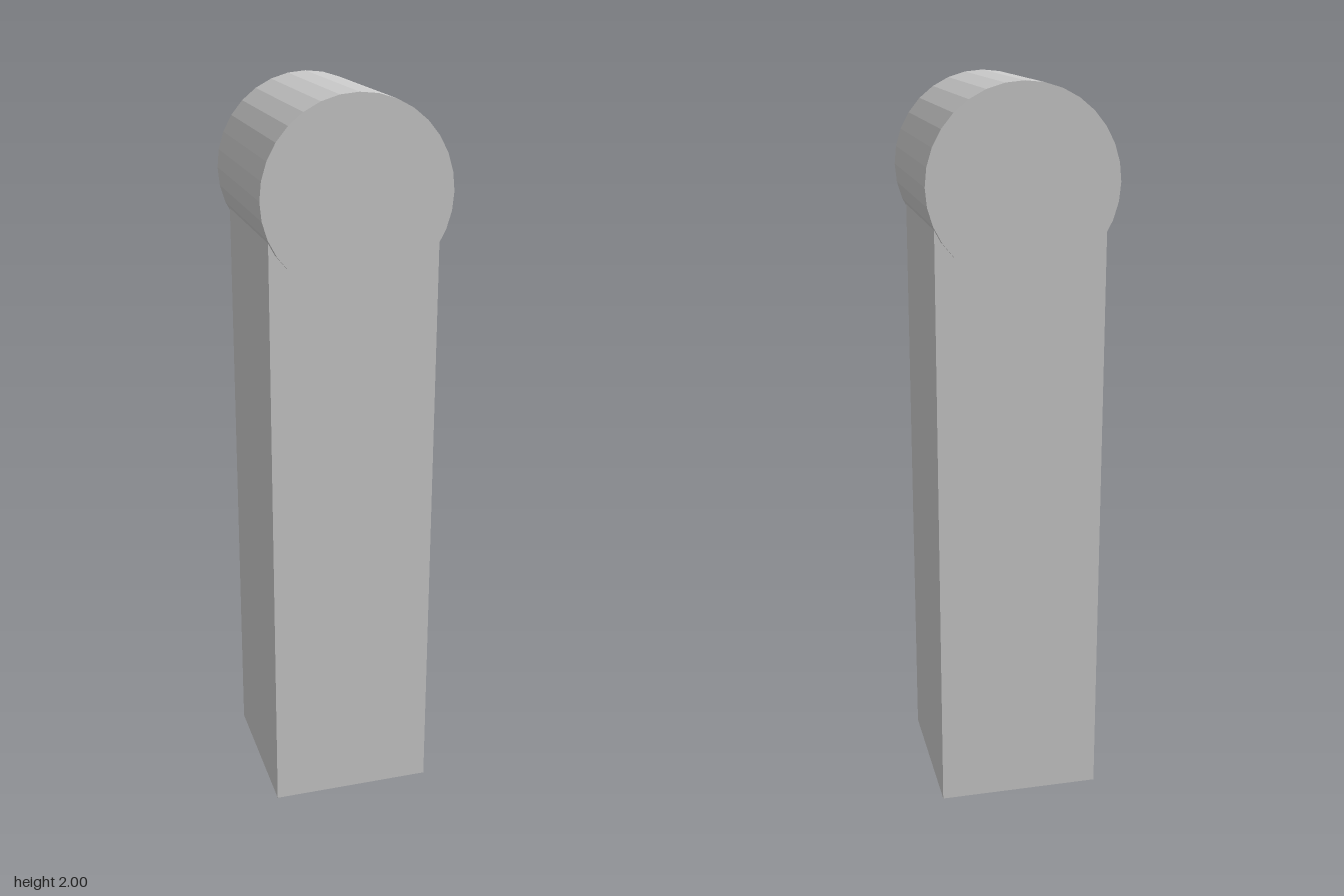
import * as THREE from 'three';

export function createModel() {
  const model = new THREE.Group();
  const material = new THREE.MeshStandardMaterial({ color: 0xcccccc, flatShading: true });

  const radius = 0.251;
  const axisHeight = 2 - radius;
  const postWidth = 0.45;

  // Square post, its top buried in the cylinder up to the axis
  const post = new THREE.Mesh(new THREE.BoxGeometry(postWidth, axisHeight, postWidth), material);
  post.name = 'post';
  post.position.y = axisHeight / 2;
  model.add(post);

  // Horizontal cylinder lying front to back, slightly overhanging the post
  const headGeometry = new THREE.CylinderGeometry(radius, radius, 2 * radius, 32);
  headGeometry.rotateX(Math.PI / 2);
  const head = new THREE.Mesh(headGeometry, material);
  head.name = 'cylinderHead';
  head.position.y = axisHeight;
  model.add(head);

  return model;
}
